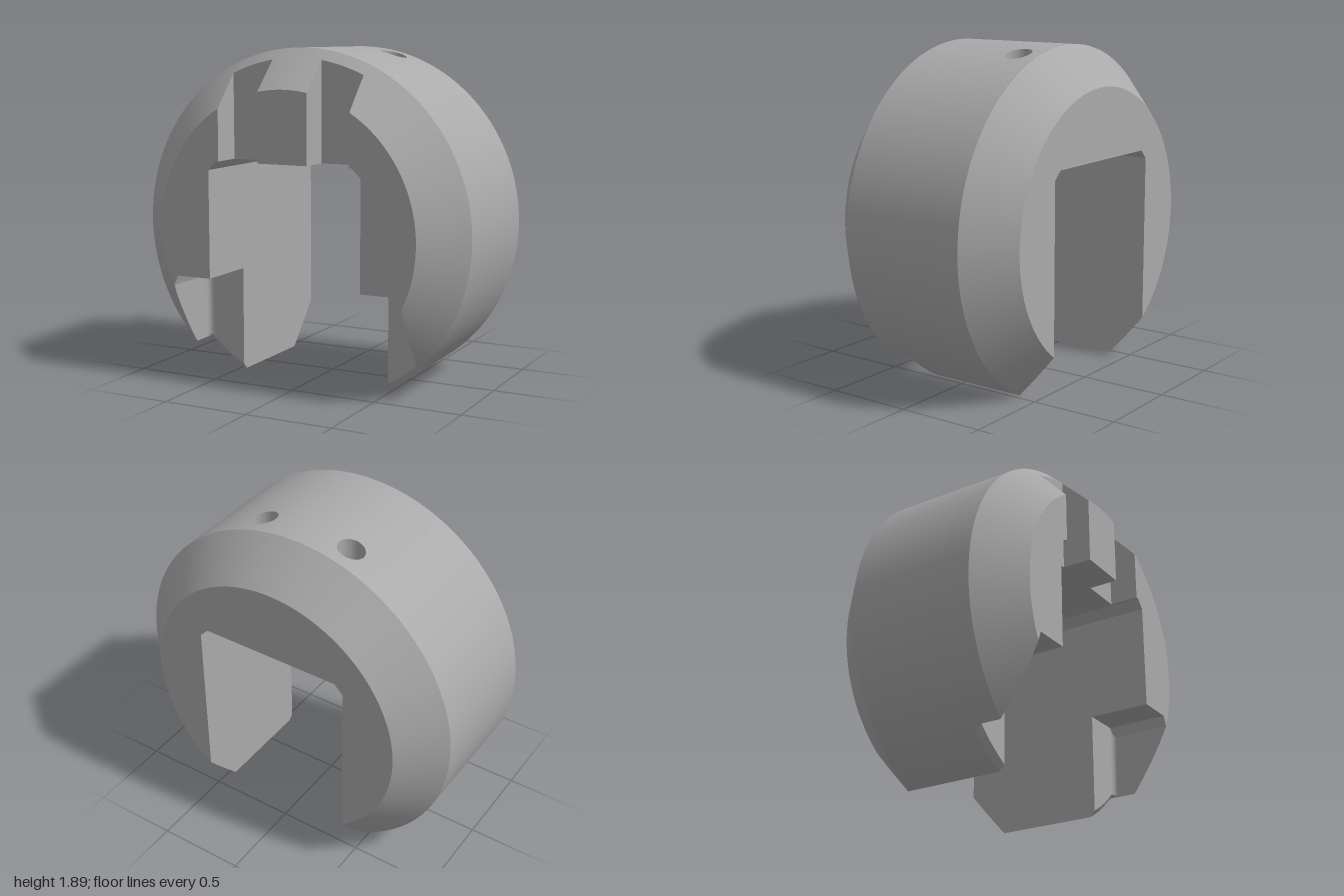
import * as THREE from 'three';
import { mergeGeometries, toCreasedNormals } from 'three/addons/utils/BufferGeometryUtils.js';

const CY = 0.89, ZE = 0.6, ZB = 0.375;      // axis height, end plane, start of the bevels
const SX = 0.465, SY = 1.27, CH = 0.05;     // slot half width, ceiling, corner cut
const PX = 0.703, PY = 0.61, PZ = 0.24, FR = 0.03; // lower pocket wall, top, back, fillet
const N0 = 0.15, N1 = 0.4, NZ = 0.43;       // upper notches
const HX = 0.275, HZ = -0.23, HR = 0.04, BR = 0.075, BY = 1.6; // bores
const { sin, cos, asin, sqrt, abs, max, min, PI } = Math;
const lerp = THREE.MathUtils.lerp;

const radius = z => 1 - max(0, abs(z) - ZB) * (0.22 / 0.225);
const onRing = (t, z) => [radius(z) * sin(t), CY + radius(z) * cos(t), z];
const topY = (x, r = 1) => CY + sqrt(r * r - x * x);
const lowY = (x, r = 1) => CY - sqrt(max(0, r * r - x * x));
const upper = (x, z) => asin(x / radius(z));
const lower = (x, z) => PI - asin(x / radius(z));

function flip(geo) {
  const a = geo.index.array;
  for (let i = 0; i < a.length; i += 3) [a[i], a[i + 1]] = [a[i + 1], a[i]];
  return geo;
}

// Grid patch of f(u, v), wound so that its middle cell faces dir
function patch(f, nu, nv, dir) {
  const pos = [], idx = [];
  for (let j = 0; j <= nv; j++) for (let i = 0; i <= nu; i++) pos.push(...f(i / nu, j / nv));
  for (let j = 0; j < nv; j++) for (let i = 0; i < nu; i++) {
    const a = j * (nu + 1) + i, b = a + 1, c = a + nu + 1, d = c + 1;
    idx.push(a, b, d, a, d, c);
  }
  const geo = new THREE.BufferGeometry();
  geo.setAttribute('position', new THREE.Float32BufferAttribute(pos, 3));
  geo.setIndex(idx);
  const m = (nv >> 1) * (nu + 1) + (nu >> 1);
  const p = k => new THREE.Vector3().fromArray(pos, k * 3);
  const n = p(m + 1).sub(p(m)).cross(p(m + nu + 2).sub(p(m)));
  return n.dot(new THREE.Vector3(...dir)) < 0 ? flip(geo) : geo;
}

// Part of the round outside between two angle limits that depend on z
const ringPatch = (t0, t1, z0, z1, nt, nz = 1) => patch((u, v) => {
  const z = lerp(z0, z1, v);
  return onRing(lerp(t0(z), t1(z), u), z);
}, nt, nz, onRing((t0(z0) + t1(z1)) / 2, 0).map((c, i) => c - (i === 1 ? CY : 0)));

function flat(points, holes = []) {
  const shape = new THREE.Shape(points.map(p => new THREE.Vector2(...p)));
  shape.holes = holes;
  const geo = new THREE.ShapeGeometry(shape, 24);
  geo.deleteAttribute('normal');
  geo.deleteAttribute('uv');
  return geo;
}

const arc = (t0, t1, r, n) => Array.from({ length: n + 1 }, (_, i) => {
  const t = lerp(t0, t1, i / n);
  return [r * sin(t), CY + r * cos(t)];
});

export function createModel() {
  const group = new THREE.Group();
  const steel = new THREE.MeshStandardMaterial({ color: 0xaaaaaa, side: THREE.DoubleSide });
  steel.name = 'grey metal';

  // Adds a part made of half patches and their mirror images
  const add = (name, halves) => {
    const all = halves.flatMap(g => [g, flip(g.clone().scale(-1, 1, 1))]);
    const mesh = new THREE.Mesh(toCreasedNormals(mergeGeometries(all), 0.4), steel);
    mesh.name = name;
    group.add(mesh);
  };

  // Round barrel, with a square left for each bore and filled by a ring of cells
  const q = 0.1, xa = HX - q, xb = HX + q, zero = () => 0;
  const crown = (z0, z1) => patch((u, v) => {
    const x = lerp(xa, xb, u);
    return [x, topY(x), lerp(z0, z1, v)];
  }, 8, 1, [0, 1, 0]);
  const around = patch((u, v) => {
    const a = u * 2 * PI, c = cos(a), s = sin(a);
    const r = lerp(BR, q / max(abs(c), abs(s)), v);
    const x = HX + r * c;
    return [x, topY(x), HZ + r * s];
  }, 48, 2, [0, 1, 0]);
  add('barrel', [
    ringPatch(zero, () => asin(xa), -ZB, 0.21, 6),
    crown(-ZB, HZ - q), crown(HZ + q, 0.21), around,
    ringPatch(() => asin(xb), z => lower(SX, z), -ZB, 0.21, 64),
    ringPatch(zero, z => lower(PX, z), 0.21, ZB, 64),
  ]);

  add('rearBevel', [ringPatch(zero, z => lower(SX, z), -ZE, -ZB, 64, 10)]);
  add('frontBevel', [
    ringPatch(zero, z => lower(PX, z), ZB, NZ, 64, 2),
    ringPatch(zero, z => upper(N0, z), NZ, ZE, 6, 4),
    ringPatch(z => upper(N1, z), z => lower(PX, z), NZ, ZE, 56, 10),
  ]);

  // Flat end faces
  const slotCorner = [[SX - CH, SY], [SX, SY - CH]];
  const r = radius(ZE);
  add('frontFace', [
    flat([[N1, SY], ...slotCorner, [SX, PY], [0.68, PY],
      ...arc(lower(PX, ZE), upper(N1, ZE), r, 48)]).translate(0, 0, ZE),
    flat([[0, SY], [N0, SY], ...arc(upper(N0, ZE), 0, r, 6)]).translate(0, 0, ZE),
  ]);
  add('rearFace', [flip(flat([[0, SY], ...slotCorner, ...arc(lower(SX, ZE), 0, r, 64)])
    .translate(0, 0, -ZE))]);

  // Slot: ceiling with notches and bore, cut corner, side wall
  const hole = new THREE.Path().absarc(HX, HZ, HR, 0, 2 * PI, true);
  const ceiling = flat([[0, -ZE], [SX - CH, -ZE], [SX - CH, ZE], [N1, ZE], [N1, NZ],
    [N0, NZ], [N0, ZE], [0, ZE]], [hole]).rotateX(PI / 2).translate(0, SY, 0);
  const wall = (z0, z1, bottom, n) => patch((u, v) => {
    const z = lerp(z0, z1, u);
    return [SX, lerp(bottom(z), SY - CH, v), z];
  }, n, 1, [-1, 0, 0]);
  add('slot', [
    ceiling,
    patch((u, v) => [SX - CH * u, SY - CH * (1 - u), lerp(-ZE, ZE, v)], 1, 1, [-1, -1, 0]),
    wall(-ZE, -ZB, z => lowY(SX, radius(z)), 10),
    wall(-ZB, 0.21, () => lowY(SX), 1),
    wall(0.21, PZ, z => lowY(SX, 1.21 - z), 1),
    wall(PZ, ZE, () => PY, 1),
  ]);

  // Upper notches
  const notchSide = (x, dir) => patch((u, v) => {
    const z = lerp(NZ, ZE, u);
    return [x, lerp(SY, topY(x, radius(z)), v), z];
  }, 4, 1, [dir, 0, 0]);
  add('upperNotches', [
    notchSide(N0, 1), notchSide(N1, -1),
    patch((u, v) => {
      const x = lerp(N0, N1, u);
      return [x, lerp(SY, topY(x, radius(NZ)), v), NZ];
    }, 8, 1, [0, 0, 1]),
  ]);

  // Lower pockets: plan outline of [x, z, bottom radius] from back, round the fillet, to the front
  const plan = [];
  for (let i = 0; i <= 8; i++) plan.push([lerp(SX, PX - FR, i / 8), PZ, 0.97]);
  for (let i = 1; i <= 6; i++) {
    const a = i / 6 * PI / 2;
    plan.push([PX - FR + FR * sin(a), PZ + FR - FR * cos(a), lerp(0.97, 1, i / 6)]);
  }
  const edge = plan.length - 1;
  for (let i = 0; i <= 10; i++) {
    const z = lerp(ZB, ZE, i / 10);
    plan.push([PX, z, radius(z)]);
  }
  const endY = lowY(PX, r);
  const roof = x => lerp(PY, endY, min(1, max(0, (x - 0.68) / (PX - 0.68))));
  const last = plan.length - 1;
  add('lowerPockets', [
    patch((u, v) => {
      const [x, z, b] = plan[Math.round(u * last)];
      return [x, lerp(lowY(x, b), roof(x), v), z];
    }, last, 1, [-1, 0, 1]),
    patch((u, v) => {
      const [x, z, b] = plan[Math.round(u * edge)];
      return v ? [x, lowY(x, b), z] : [x, lowY(x), 0.21];
    }, edge, 1, [0, -1, 1]),
    patch((u, v) => [lerp(SX, 0.68, u), PY, lerp(PZ, ZE, v)], 1, 1, [0, -1, 0]),
    patch((u, v) => [lerp(0.68, PX, u), lerp(PY, endY, u), lerp(PZ, ZE, v)], 1, 1, [-1, -1, 0]),
  ]);

  // Stepped vertical bores
  const tube = (rad, y0, y1) => patch((u, v) => {
    const a = u * 2 * PI, x = HX + rad * cos(a);
    return [x, lerp(y0, y1(x), v), HZ + rad * sin(a)];
  }, 48, 1, [1, 0, 0]);
  add('bores', [
    tube(BR, BY, x => topY(x)),
    tube(HR, SY, () => BY),
    patch((u, v) => {
      const a = u * 2 * PI, rad = lerp(HR, BR, v);
      return [HX + rad * cos(a), BY, HZ + rad * sin(a)];
    }, 48, 1, [0, 1, 0]),
  ]);
  return group;
}
